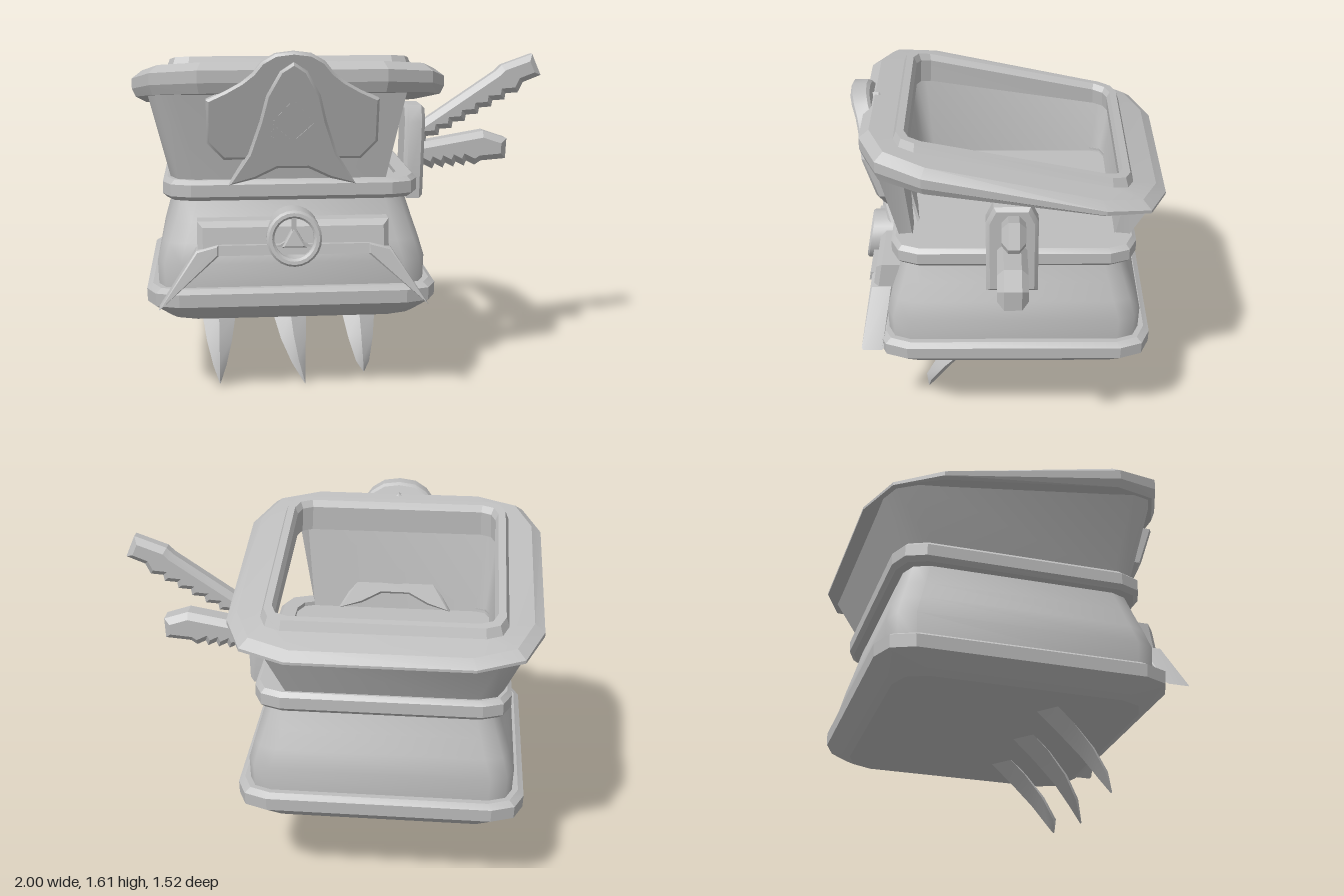
import * as THREE from 'three';
import { toCreasedNormals } from 'three/addons/utils/BufferGeometryUtils.js';

const CX = -0.277, CZ = -0.04;
const steel = new THREE.MeshStandardMaterial({ color: 0xbebebe, side: THREE.DoubleSide });
steel.name = 'plain grey';

function part(geo, name, crease = 0.5) {
  const mesh = new THREE.Mesh(toCreasedNormals(geo, crease), steel);
  mesh.name = name;
  return mesh;
}

// Square outline with rounded corners, two segments per corner
function outline(half, r) {
  const pts = [];
  for (let q = 0; q < 4; q++) {
    const m = q * Math.PI / 2 + Math.PI / 4, c = (half - r) * Math.SQRT2;
    for (let s = 0; s < 3; s++) {
      const a = q * Math.PI / 2 + s * Math.PI / 4;
      pts.push([Math.cos(m) * c + Math.cos(a) * r, Math.sin(m) * c + Math.sin(a) * r]);
    }
  }
  return pts;
}

// Skin through sections [half width, corner radius, height, slope along z]
function loft(sections, from = 0, to = 12) {
  const rows = sections.map(([h, r, y, slope = 0]) =>
    outline(h, r).map(([x, z]) => [x + CX, y + slope * (z + CZ), z + CZ]));
  const pos = [];
  const quad = (a, b, c, d) => pos.push(...a, ...b, ...c, ...a, ...c, ...d);
  for (let i = 0; i + 1 < rows.length; i++)
    for (let j = from; j < to; j++) {
      const k = (j + 1) % 12;
      quad(rows[i][j], rows[i + 1][j], rows[i + 1][k], rows[i][k]);
    }
  // close the two cut ends of a partial ring
  if (to - from < 12) for (const j of [from, to]) quad(rows[0][j], rows[1][j], rows[2][j], rows[3][j]);
  const g = new THREE.BufferGeometry();
  g.setAttribute('position', new THREE.Float32BufferAttribute(pos, 3));
  return g;
}

// Extruded outline from z0 to z1, leaning by lean per unit of height above y0
function plate(pts, z0, z1, { lean = 0, y0 = 0, hole = null, bevel = 0 } = {}) {
  const shape = new THREE.Shape(pts.map(p => new THREE.Vector2(...p)));
  if (hole) shape.holes.push(new THREE.Path(hole.map(p => new THREE.Vector2(...p))));
  const g = new THREE.ExtrudeGeometry(shape, {
    depth: z1 - z0 - 2 * bevel, bevelEnabled: bevel > 0, bevelSegments: 1,
    bevelSize: bevel, bevelThickness: bevel, bevelOffset: -bevel, curveSegments: 8,
  });
  g.translate(0, 0, z0 + bevel);
  const p = g.attributes.position;
  for (let i = 0; i < p.count; i++) p.setZ(i, p.getZ(i) + lean * (p.getY(i) - y0));
  return g;
}

// Right half of an outline, listed top to bottom, mirrored into a full one
const mirror = half => [...half, ...half.slice().reverse().filter(p => p[0] > 0).map(([x, y]) => [-x, y])];
const circle = (r, y, n) => Array.from({ length: n }, (_, i) => {
  const a = i / n * Math.PI * 2 + Math.PI / 2;
  return [Math.cos(a) * r, y + Math.sin(a) * r];
});

// Saw-toothed edge between two points
function teeth(x0, y0, x1, y1, n, size) {
  const pts = [], len = Math.hypot(x1 - x0, y1 - y0);
  const nx = (y1 - y0) / len * size, ny = -(x1 - x0) / len * size;
  for (let i = 0; i < n; i++) {
    const at = t => [x0 + (x1 - x0) * t, y0 + (y1 - y0) * t];
    const a = at(i / n), b = at((i + 0.75) / n);
    pts.push(a, [b[0] + nx, b[1] + ny]);
  }
  return pts;
}

// Curved claw with a four-sided section
function claw(x, bend, tipY) {
  const rings = [[0.42, 0.085, 0.05], [0.3, 0.08, 0.048], [0.2, 0.06, 0.042], [0.1, 0.032, 0.03], [tipY, 0.002, 0.004]];
  const pos = [], rows = rings.map(([y, w, d], i) => {
    const t = i / 4, cx = x + bend * t * t, cz = 0.11 + (0.42 - y) * 0.81 + 0.04 * Math.sin(t * Math.PI) - 0.01;
    return [[w, 0], [0, 1], [-w, 0], [0, -1]].map(([dx, s]) => [cx + dx, y + s * d * 0.62, cz + s * d * 0.78]);
  });
  for (let i = 0; i < 4; i++) for (let j = 0; j < 4; j++) {
    const k = (j + 1) % 4, a = rows[i][j], b = rows[i][k], c = rows[i + 1][k], d = rows[i + 1][j];
    pos.push(...a, ...b, ...c, ...a, ...c, ...d);
  }
  const g = new THREE.BufferGeometry();
  g.setAttribute('position', new THREE.Float32BufferAttribute(pos, 3));
  return g;
}

export function createModel() {
  const model = new THREE.Group();
  const add = (geo, name, crease) => { const m = part(geo, name, crease); model.add(m); return m; };

  // Lower body, base moulding and middle band
  add(loft([[0.001, 0.0005, 0.37], [0.57, 0.13, 0.37], [0.6, 0.14, 0.39], [0.67, 0.15, 0.45], [0.672, 0.15, 0.51],
    [0.645, 0.14, 0.53], [0.58, 0.12, 0.53]]), 'baseMoulding', 0.3);
  add(loft([[0.615, 0.11, 0.5], [0.62, 0.11, 0.64], [0.595, 0.11, 0.73], [0.565, 0.105, 0.82], [0.525, 0.1, 0.95]]), 'lowerBody', 0.9);
  add(loft([[0.51, 0.1, 0.925], [0.57, 0.12, 0.925], [0.59, 0.13, 0.945], [0.59, 0.13, 1.0],
    [0.57, 0.12, 1.02], [0.5, 0.1, 1.02], [0.5, 0.1, 1.0], [0.001, 0.0005, 1.0]]), 'middleBandAndFloor', 0.3);

  // Flared upper wall, open on its left side
  add(loft([[0.55, 0.12, 1.0], [0.655, 0.13, 1.36, 0.17], [0.54, 0.08, 1.38, 0.17], [0.49, 0.07, 1.0], [0.55, 0.12, 1.0]], 2, 9), 'upperWall', 0.9);

  // Sloping top rim with raised collar
  add(loft([[0.5, 0.07, 1.35, 0.15], [0.6, 0.2, 1.33, 0.14], [0.705, 0.29, 1.335, 0.14], [0.722, 0.3, 1.36, 0.17],
    [0.722, 0.3, 1.395, 0.2], [0.675, 0.27, 1.43, 0.21], [0.56, 0.1, 1.44, 0.2], [0.545, 0.09, 1.48, 0.197],
    [0.51, 0.08, 1.48, 0.197], [0.495, 0.07, 1.45, 0.197], [0.5, 0.07, 1.35, 0.15]]), 'topRim', 0.25);

  // Front crest: shield, hooded arch and mask
  const crest = new THREE.Group();
  crest.name = 'frontCrest';
  crest.position.x = CX;
  const tilt = { lean: 0.33, y0: 1 };
  crest.add(part(plate(mirror([[0, 1.615], [0.08, 1.605], [0.14, 1.57], [0.18, 1.52], [0.23, 1.48], [0.3, 1.44], [0.385, 1.4],
    [0.385, 1.2], [0.31, 1.12], [0.15, 1.12]]), 0.46, 0.55, { ...tilt, bevel: 0.012 }), 'shield'));
  const hood = mirror([[0, 1.43], [0.05, 1.39], [0.1, 1.31], [0.113, 1.23], [0.08, 1.15], [0.04, 1.12]]);
  crest.add(part(plate(mirror([[0, 1.57], [0.06, 1.53], [0.12, 1.42], [0.15, 1.3], [0.2, 1.15], [0.29, 1.0], [0.17, 1.03], [0.07, 1.08]]),
    0.42, 0.575, { ...tilt, hole: hood, bevel: 0.012 }), 'hoodArch'));
  crest.add(part(plate(mirror([[0, 1.4], [0.09, 1.3], [0.1, 1.2], [0.05, 1.13]]), 0.52, 0.556, tilt), 'mask'));
  for (const s of [-1, 1])
    crest.add(part(plate([[s * 0.015, 1.22], [s * 0.09, 1.29], [s * 0.085, 1.21]], 0.556, 0.565, tilt), 'eye'));
  model.add(crest);

  // Lower front ornament: bar, swept fangs and round medallion
  const buckle = new THREE.Group();
  buckle.name = 'frontBuckle';
  buckle.position.x = CX;
  const slope = { lean: -0.17, y0: 0.47 };
  buckle.add(part(plate([[-0.435, 0.7], [0.435, 0.7], [0.435, 0.845], [-0.435, 0.845]], 0.55, 0.695, { ...slope, bevel: 0.025 }), 'bar'));
  buckle.add(part(plate([[-0.34, 0.7], [0.34, 0.7], [0.34, 0.745], [-0.34, 0.745]], 0.6, 0.72, slope), 'lowerStrip'));
  for (const s of [-1, 1])
    buckle.add(part(plate([[s * 0.34, 0.745], [s * 0.44, 0.72], [s * 0.61, 0.46], [s * 0.34, 0.695]], 0.6, 0.71, { ...slope, bevel: 0.008 }), 'fang'));
  buckle.add(part(plate(circle(0.125, 0.775, 24), 0.6, 0.75, { ...slope, hole: circle(0.09, 0.775, 24), bevel: 0.01 }), 'medallionRing'));
  buckle.add(part(plate(circle(0.065, 0.765, 3), 0.6, 0.735, { ...slope, bevel: 0.01 }), 'medallionTriangle'));
  for (let i = 0; i < 3; i++) {
    const spoke = part(new THREE.BoxGeometry(0.02, 0.09, 0.05), 'medallionSpoke');
    const a = i * Math.PI * 2 / 3;
    spoke.position.set(-Math.sin(a) * 0.055, 0.77 + Math.cos(a) * 0.055, 0.65);
    spoke.rotation.z = a;
    buckle.add(spoke);
  }
  model.add(buckle);

  // Side mount: chamfered block with its face turned to the left
  const mountGeo = plate([[-0.123, 0.84], [0.123, 0.84], [0.123, 1.22], [0.085, 1.3], [-0.085, 1.3], [-0.123, 1.22]], 0, 0.1, { bevel: 0.018 });
  mountGeo.rotateY(Math.PI / 2);
  mountGeo.translate(0.3, 0, -0.03);
  const mount = add(mountGeo, 'sideMount');
  mount.rotation.z = -0.03;
  mount.position.set(-0.03, 0.01, 0);

  // Two saw-toothed blades
  add(plate([...teeth(0.36, 1.1, 0.89, 1.38, 8, 0.025), [0.91, 1.4], [1.0, 1.435], [0.955, 1.54], [0.8, 1.485], [0.77, 1.455], [0.36, 1.15 + 0.03]],
    -0.083, 0.02, { bevel: 0.028 }), 'upperBlade', 0.3);
  add(plate([...teeth(0.36, 0.99, 0.68, 1.015, 6, 0.025), [0.7, 1.01], [0.825, 1.02], [0.83, 1.12], [0.71, 1.16], [0.36, 1.1]],
    -0.1, 0.04, { bevel: 0.03 }), 'lowerBlade', 0.3);

  // Claws under the base
  for (const [x, bend, tipY] of [[-0.62, 0, 0.02], [-0.28, 0.065, 0.01], [0.06, 0.01, 0.05]]) add(claw(x, bend, tipY), 'claw', 0.6);

  return model;
}
